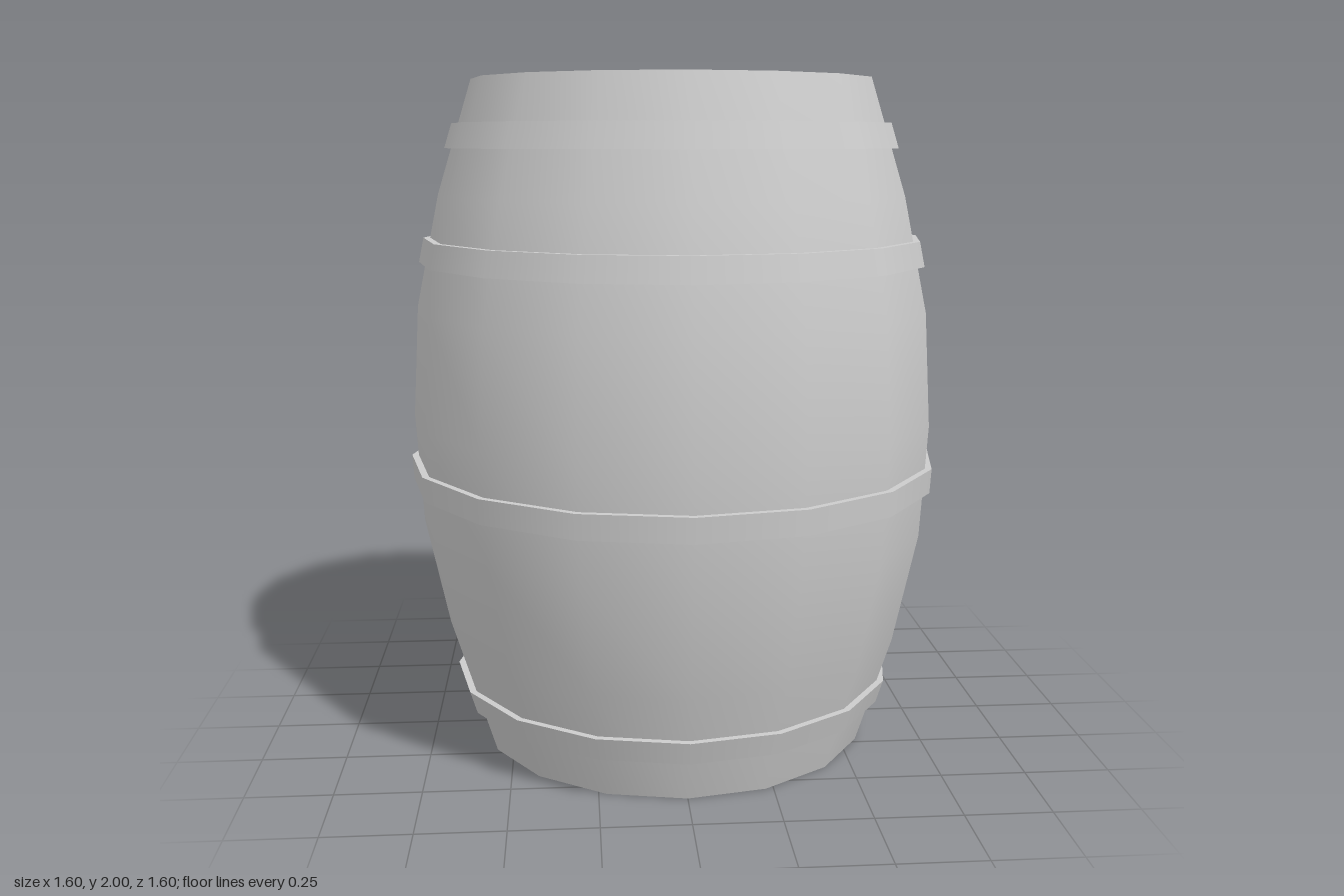
import * as THREE from 'three';
import { mergeGeometries } from 'three/addons/utils/BufferGeometryUtils.js';

const SIDES = 16;
const material = new THREE.MeshStandardMaterial({ color: 0xcccccc });

// Barrel side from bottom to top as [radius, y]
const STAVES = [
  [0.595, 0], [0.7, 0.335], [0.77, 0.667], [0.79, 1],
  [0.77, 1.333], [0.7, 1.665], [0.595, 2],
];

// Radius of the staves at height y
function radiusAt(y) {
  const i = Math.max(1, STAVES.findIndex((p) => p[1] >= y));
  const [r0, y0] = STAVES[i - 1];
  const [r1, y1] = STAVES[i];
  return r0 + ((r1 - r0) * (y - y0)) / (y1 - y0);
}

function lathe(points) {
  return new THREE.LatheGeometry(points.map(([r, y]) => new THREE.Vector2(r, y)), SIDES);
}

// Lathe each segment separately so the profile corners stay sharp
function sharpLathe(points) {
  return mergeGeometries(points.slice(1).map((p, i) => lathe([points[i], p])));
}

export function createModel() {
  const group = new THREE.Group();
  const add = (name, geometry) => {
    const mesh = new THREE.Mesh(geometry, material);
    mesh.name = name;
    group.add(mesh);
    return mesh;
  };

  // Bulging side
  add('staves', lathe(STAVES));

  // Recessed heads with their rims
  const rim = 0.55, depth = 0.04;
  add('topHead', sharpLathe([[0.595, 2], [rim, 2], [rim, 2 - depth], [0, 2 - depth]]));
  add('bottomHead', sharpLathe([[0, depth], [rim, depth], [rim, 0], [0.595, 0]]));

  // Hoops, unevenly spaced and following the slope of the staves
  const hoops = [[0.13, 0.2], [0.8, 0.873], [1.465, 1.537], [1.8, 1.872]];
  hoops.forEach(([low, high], i) => {
    const a = radiusAt(low), b = radiusAt(high), t = 0.02;
    add(`hoop${i + 1}`, sharpLathe([
      [a - 0.01, low], [a + t, low], [b + t, high], [b - 0.01, high],
    ]));
  });

  return group;
}
